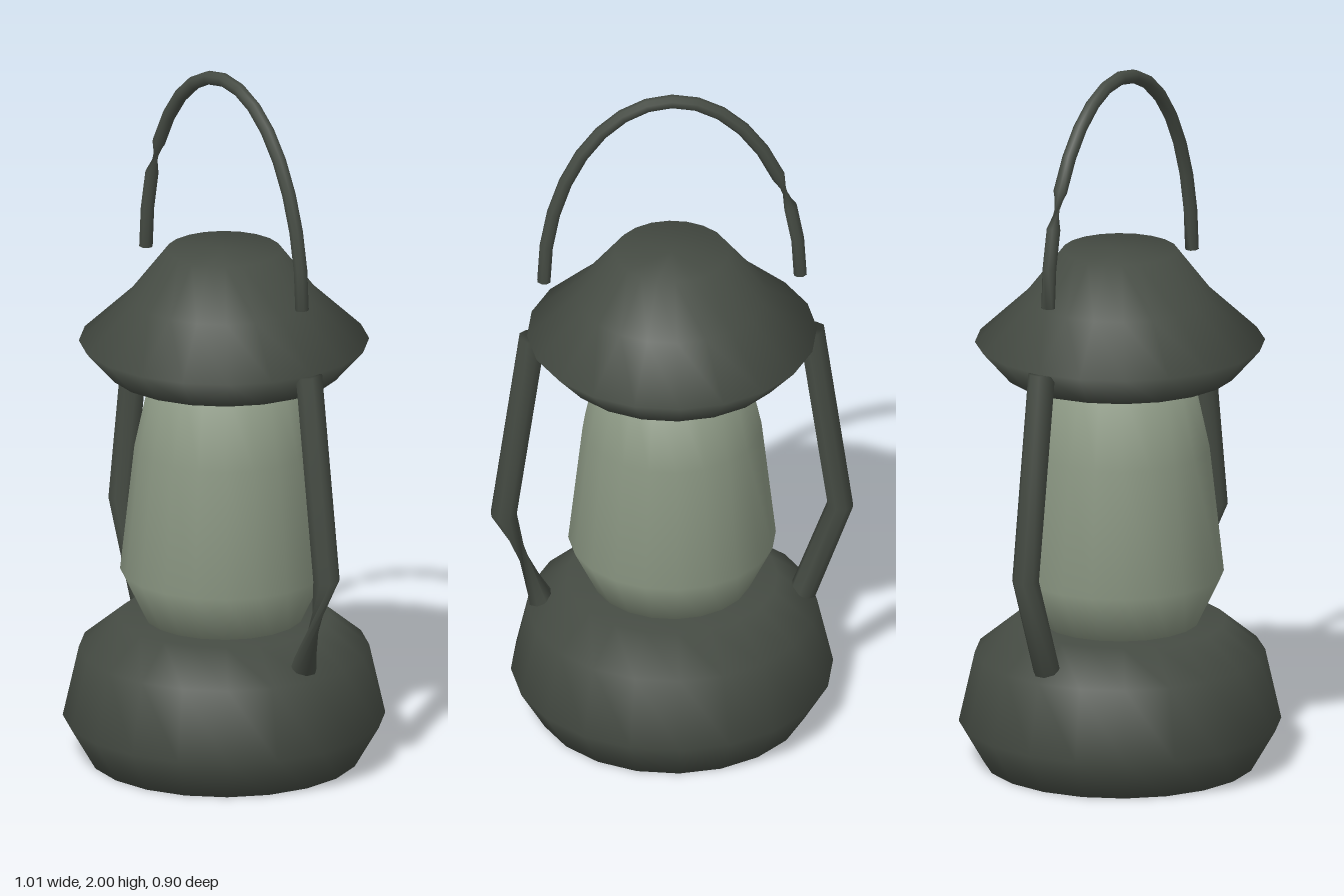
import * as THREE from 'three';

const metal = new THREE.MeshStandardMaterial({ color: 0x454b43 });
metal.name = 'dark metal';
const glass = new THREE.MeshStandardMaterial({ color: 0x8a9682 });
glass.name = 'frosted glass';

// Turned body part from a profile of [radius, height] pairs, bottom to top
function turned(name, profile, material) {
  const points = profile.map(([r, y]) => new THREE.Vector2(r, y));
  const mesh = new THREE.Mesh(new THREE.LatheGeometry(points, 20), material);
  mesh.name = name;
  return mesh;
}

// Capped rod through [x, y] points; rings from twistAt onward turn half round, pinching one segment
function rod(name, path, radius, twistAt = Infinity, sides = 8) {
  const pts = path.map(([x, y]) => new THREE.Vector3(x, y, 0));
  const positions = [], index = [];
  const depth = new THREE.Vector3(0, 0, 1);
  pts.forEach((p, i) => {
    const before = pts[Math.max(i - 1, 0)], after = pts[Math.min(i + 1, pts.length - 1)];
    const tangent = after.clone().sub(before).normalize();
    const across = depth.clone().cross(tangent);
    for (let s = 0; s < sides; s++) {
      const a = (s + 0.5) / sides * Math.PI * 2 + (i >= twistAt ? Math.PI : 0);
      const v = p.clone().addScaledVector(across, Math.cos(a) * radius)
        .addScaledVector(depth, Math.sin(a) * radius);
      positions.push(v.x, v.y, v.z);
    }
  });
  for (let i = 0; i < pts.length - 1; i++) {
    for (let s = 0; s < sides; s++) {
      const a = i * sides + s, b = i * sides + (s + 1) % sides;
      index.push(a, a + sides, b, b, a + sides, b + sides);
    }
  }
  // End caps
  const last = (pts.length - 1) * sides;
  for (let s = 1; s < sides - 1; s++) {
    index.push(0, s, s + 1, last, last + s + 1, last + s);
  }
  // Turn the faces outward
  for (let i = 0; i < index.length; i += 3) {
    [index[i + 1], index[i + 2]] = [index[i + 2], index[i + 1]];
  }
  const geometry = new THREE.BufferGeometry();
  geometry.setAttribute('position', new THREE.Float32BufferAttribute(positions, 3));
  geometry.setIndex(orientOutward(geometry, index));
  geometry.computeVertexNormals();
  const mesh = new THREE.Mesh(geometry, metal);
  mesh.name = name;
  return mesh;
}

// Flip every face if the enclosed volume comes out negative
function orientOutward(geometry, index) {
  const pos = geometry.attributes.position;
  const [a, b, c] = [0, 1, 2].map(() => new THREE.Vector3());
  let volume = 0;
  for (let i = 0; i < index.length; i += 3) {
    a.fromBufferAttribute(pos, index[i]);
    b.fromBufferAttribute(pos, index[i + 1]);
    c.fromBufferAttribute(pos, index[i + 2]);
    volume += a.dot(b.cross(c));
  }
  return volume < 0 ? index.reverse() : index;
}

export function createModel() {
  const lantern = new THREE.Group();
  lantern.name = 'lantern';

  // Fuel tank, glass chimney and hood
  lantern.add(turned('base', [[0, 0], [0.38, 0], [0.45, 0.12], [0.405, 0.32], [0.295, 0.41], [0, 0.41]], metal));
  lantern.add(turned('glassChimney', [[0, 0.4], [0.22, 0.405], [0.29, 0.55], [0.25, 0.91], [0.2, 1.14], [0, 1.14]], glass));
  lantern.add(turned('hood', [[0, 1.13], [0.325, 1.13], [0.405, 1.22], [0.265, 1.35], [0.16, 1.485], [0, 1.485]], metal));

  // Bent side posts; the left one is pinched below its bend
  for (const side of [-1, 1]) {
    const path = [[0.39, 1.215], [0.47, 0.635], [0.365, 0.35]].map(([x, y]) => [x * side, y]);
    lantern.add(rod(side > 0 ? 'leftPost' : 'rightPost', path, 0.038, side > 0 ? 2 : Infinity));
  }

  // Arched carrying handle, pinched near its right end
  const arch = [];
  for (let i = 0; i <= 16; i++) {
    const a = i / 16 * Math.PI;
    arch.push([-0.358 * Math.cos(a), 1.4 + 0.582 * Math.sin(a)]);
  }
  lantern.add(rod('handle', arch, 0.0195, 3));

  return lantern;
}
